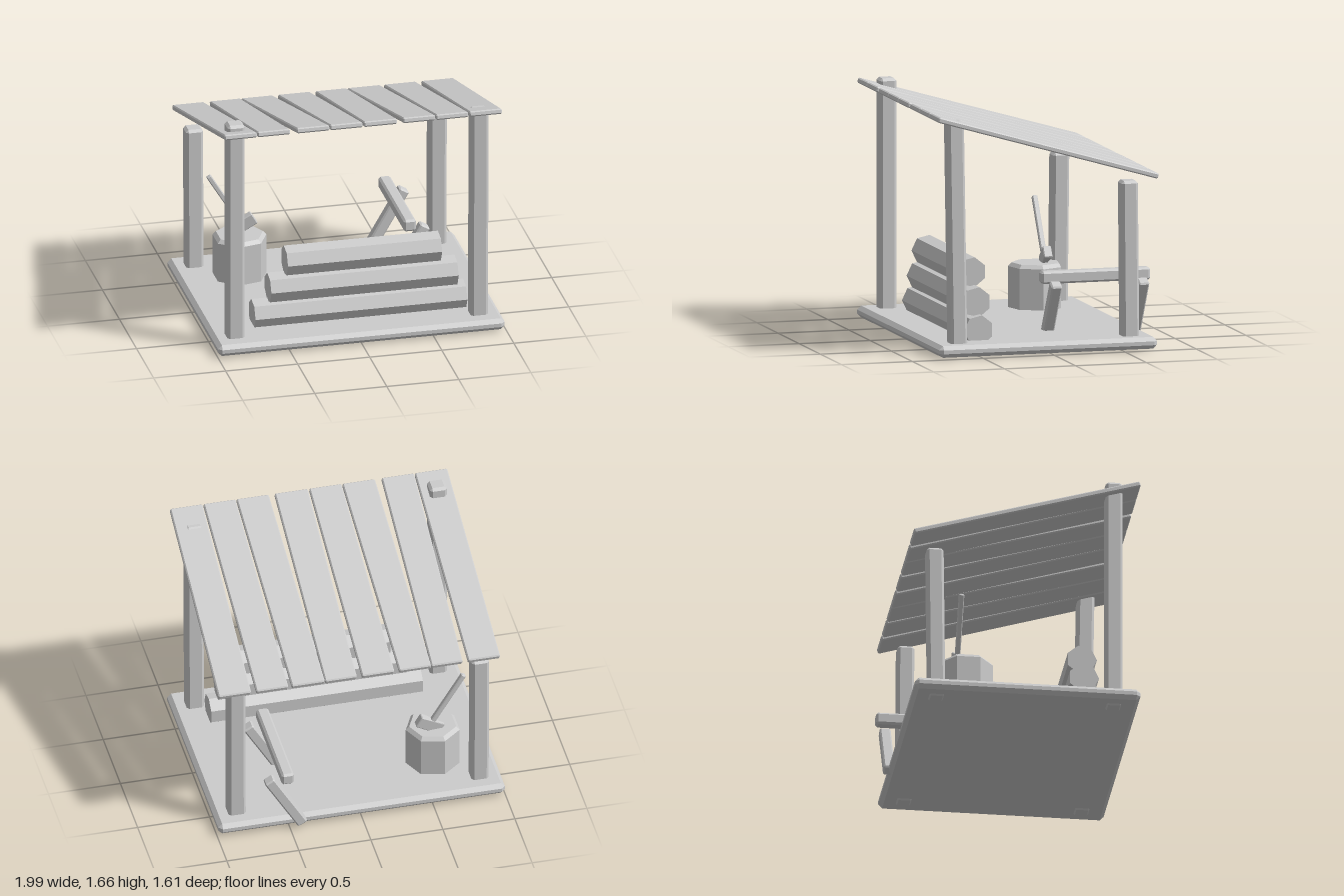
import * as THREE from 'three';
import { ConvexGeometry } from 'three/addons/geometries/ConvexGeometry.js';

export function createModel() {
  const model = new THREE.Group();
  model.name = 'woodShelter';
  const wood = new THREE.MeshStandardMaterial({ color: 0xcccccc, flatShading: true });
  wood.name = 'plainWood';

  const add = (name, geometry, x, y, z, parent = model) => {
    const mesh = new THREE.Mesh(geometry, wood);
    mesh.name = name;
    mesh.position.set(x, y, z);
    parent.add(mesh);
    return mesh;
  };

  // Box with chamfered edges; warp may move each corner point
  const timber = (w, h, d, c, warp = () => {}) => {
    const points = [];
    for (const sx of [-1, 1]) for (const sy of [-1, 1]) for (const sz of [-1, 1]) {
      for (let axis = 0; axis < 3; axis++) {
        const inset = [c, c, c];
        inset[axis] = 0;
        const p = new THREE.Vector3(
          sx * (w / 2 - inset[0]), sy * (h / 2 - inset[1]), sz * (d / 2 - inset[2]));
        warp(p);
        points.push(p);
      }
    }
    return new ConvexGeometry(points);
  };

  // Floor
  add('floor', timber(1.99, 0.08, 1.535, 0.027), -0.005, 0.05, 0.033);

  // Corner posts: x, z at the foot, top height, lean in z
  const posts = [
    ['frontRightPost', -0.85, 0.632, 1.66, 0],
    ['frontLeftPost', 0.837, 0.634, 1.607, 0.025],
    ['backRightPost', -0.85, -0.575, 1.1, -0.012],
    ['backLeftPost', 0.837, -0.577, 1.15, 0.01],
  ];
  for (const [name, x, z, h, lean] of posts) {
    const geometry = timber(0.12, h, 0.116, 0.018, (p) => { p.z += lean * (p.y / h + 0.5); });
    add(name, geometry, x, h / 2, z);
  }

  // Sloping roof planks: left and right edge at the front, then at the back
  const roof = new THREE.Group();
  roof.name = 'roof';
  roof.position.set(0, 1.412, 0.033);
  roof.rotation.x = -0.281;
  model.add(roof);
  const planks = [
    [-0.96, -0.735, -0.96, -0.738],
    [-0.73, -0.505, -0.7, -0.484],
    [-0.458, -0.232, -0.482, -0.26],
    [-0.226, -0.002, -0.226, -0.002],
    [0.008, 0.238, 0.034, 0.254],
    [0.28, 0.503, 0.256, 0.485],
    [0.51, 0.732, 0.51, 0.732],
    [0.74, 0.965, 0.768, 0.995],
  ];
  const length = 1.603;
  for (const [f0, f1, b0, b1] of planks) {
    const geometry = timber(0.225, 0.037, length, 0.008, (p) => {
      const t = p.z / length + 0.5, u = p.x / 0.225 + 0.5;
      p.x = THREE.MathUtils.lerp(
        THREE.MathUtils.lerp(b0, b1, u), THREE.MathUtils.lerp(f0, f1, u), t);
    });
    add('roofPlank', geometry, 0, 0, 0, roof);
  }

  // Stacked logs: left end, right end, height
  for (const [x0, x1, y] of [[-0.69, 0.78, 0.158], [-0.58, 0.72, 0.342], [-0.465, 0.605, 0.53]]) {
    const log = add('log', new THREE.CylinderGeometry(0.104, 0.104, x1 - x0, 7), (x0 + x1) / 2, y, 0.466);
    log.rotation.z = Math.PI / 2;
  }

  // Chopping block with raised top
  add('choppingBlock', new THREE.CylinderGeometry(0.187, 0.187, 0.3, 7, 1, false, Math.PI / 2), -0.587, 0.22, -0.34);
  add('choppingBlockTop', new THREE.CylinderGeometry(0.163, 0.187, 0.025, 7, 1, false, Math.PI / 2), -0.587, 0.3825, -0.34);

  // Axe leaning out of the block
  const axe = new THREE.Group();
  axe.name = 'axe';
  axe.position.set(-0.555, 0.432, -0.393);
  axe.rotation.z = 0.55;
  model.add(axe);
  add('axeHandle', timber(0.034, 0.46, 0.036, 0.006), 0, 0.22, 0, axe);
  add('axeHead', timber(0.19, 0.085, 0.06, 0.006, (p) => {
    if (p.x < 0) p.z *= 0.35;
  }), 0, 0, 0, axe);

  // Trestle: beam on two slanted legs
  add('trestleBeam', timber(0.085, 0.085, 0.765, 0.014), 0.528, 0.462, -0.425);
  for (const z of [-0.118, -0.732]) {
    const leg = add('trestleLeg', timber(0.075, 0.46, 0.075, 0.01), 0.53, 0.232, z);
    leg.rotation.z = -0.53;
  }
  return model;
}
